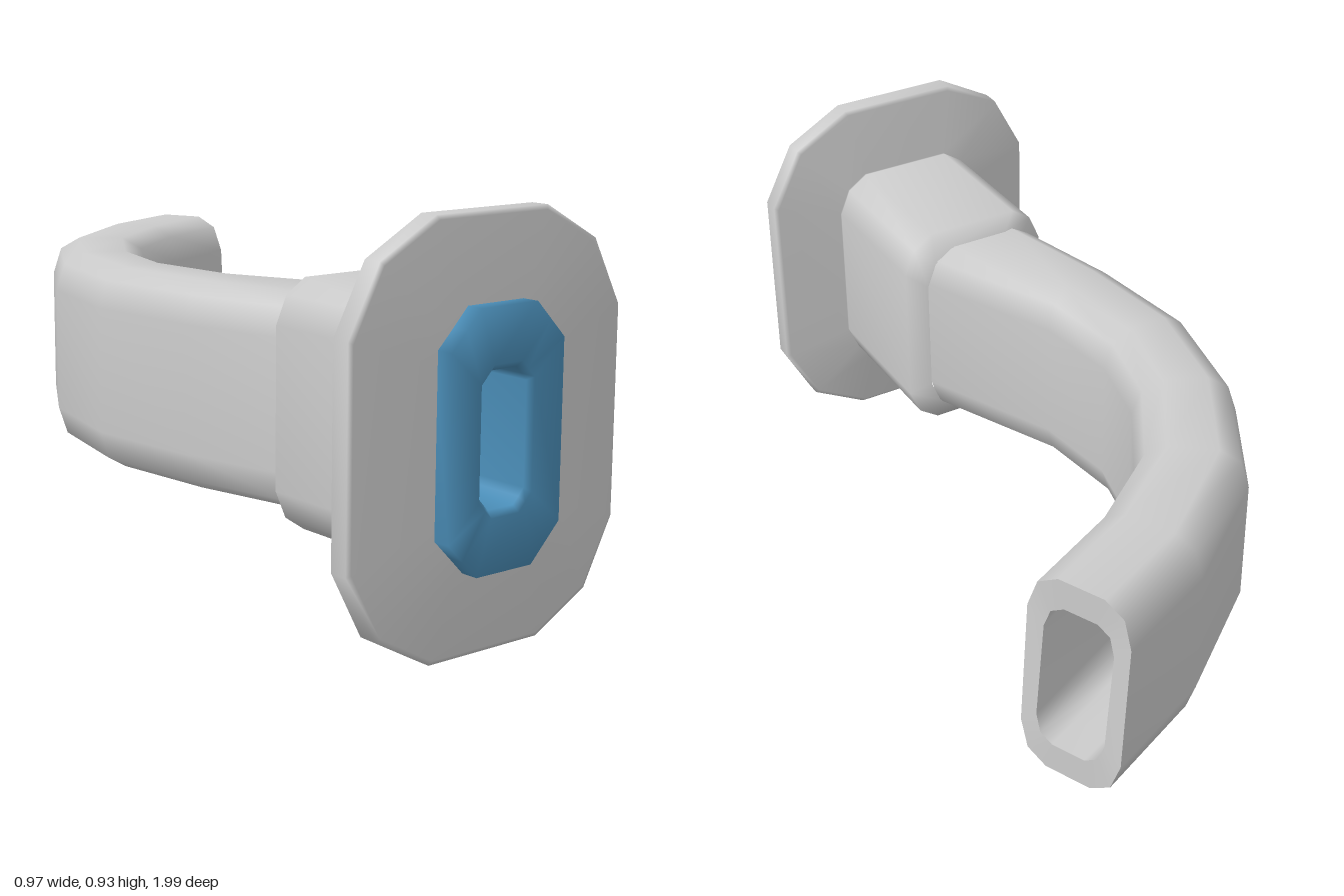
import * as THREE from 'three';

const CX = -0.11, CY = 0.468;

// A ring of 12 points: a rounded rectangle spanning l to r (x, z pairs) and 2*hy tall,
// with corners cut by cx, cy. mid sets corner roundness, tilt leans the ring along the path.
function ring(l, r, hy, cx, cy, mid = 0.35, tilt = 0) {
  const a = new THREE.Vector2(...l), b = new THREE.Vector2(...r);
  const hx = a.distanceTo(b) / 2;
  const c = a.clone().add(b).multiplyScalar(0.5);
  const u = hx > 0 ? b.clone().sub(a).normalize() : new THREE.Vector2(1, 0);
  const corner = [[hx, hy - cy], [hx - mid * cx, hy - mid * cy], [hx - cx, hy]];
  const back = [...corner].reverse();
  const pts = [
    ...corner,
    ...back.map(([x, y]) => [-x, y]),
    ...corner.map(([x, y]) => [-x, -y]),
    ...back.map(([x, y]) => [x, -y]),
  ];
  return pts.map(([x, y]) => {
    const s = hy > 0 ? -tilt * y / hy : 0;
    return [c.x + u.x * x + u.y * s, CY + y, c.y + u.y * x - u.x * s];
  });
}

// Ring facing straight along z
const flat = (z, hx, hy, cx, cy, mid) => ring([CX - hx, z], [CX + hx, z], hy, cx, cy, mid);

// Skin a list of rings; repeat a ring to get a sharp edge there
function loft(name, rings, color) {
  const n = 12, index = [];
  for (let i = 0; i < rings.length - 1; i++) {
    for (let j = 0; j < n; j++) {
      const a = i * n + j, b = i * n + (j + 1) % n;
      index.push(a, a + n, b, b, a + n, b + n);
    }
  }
  const geo = new THREE.BufferGeometry();
  geo.setAttribute('position', new THREE.Float32BufferAttribute(rings.flat(2), 3));
  geo.setIndex(index);
  geo.computeVertexNormals();
  const mesh = new THREE.Mesh(geo, new THREE.MeshStandardMaterial({ color }));
  mesh.name = name;
  return mesh;
}

export function createModel() {
  const group = new THREE.Group();
  group.name = 'curvedPipe';

  // Flange plate and the thick neck behind it
  group.add(loft('flangeAndNeck', [
    flat(0.96, 0.12, 0.24, 0.06, 0.07),
    flat(0.958, 0.2, 0.29, 0.1, 0.11),
    flat(0.95, 0.37, 0.456, 0.22, 0.225),
    flat(0.945, 0.38, 0.466, 0.225, 0.23),
    flat(0.9, 0.38, 0.466, 0.225, 0.23),
    flat(0.893, 0.37, 0.456, 0.22, 0.225),
    flat(0.87, 0.2, 0.285, 0.08, 0.1),
    flat(0.865, 0.2, 0.285, 0.08, 0.1),
    flat(0.49, 0.2, 0.285, 0.08, 0.1),
    flat(0.46, 0.15, 0.245, 0.07, 0.095),
  ], 0xcccccc));

  // Curved hollow tube: left and right edge of each station
  const path = [
    [[-0.285, 0.47], [0.035, 0.47]],
    [[-0.35, 0.2], [-0.12, 0.12]],
    [[-0.385, -0.1], [-0.145, -0.1]],
    [[-0.32, -0.4], [-0.1, -0.29]],
    [[-0.17, -0.66], [0.03, -0.5]],
    [[0.1, -0.87], [0.22, -0.64]],
    [[0.36, -0.985], [0.465, -0.755]],
  ];
  const last = path.length - 1;
  const station = (i, scale, hy, cx, cy) => {
    const [l, r] = path[i];
    const lerp = (t) => [l[0] + (r[0] - l[0]) * t, l[1] + (r[1] - l[1]) * t];
    return ring(lerp(0.5 - scale / 2), lerp(0.5 + scale / 2), hy, cx, cy, 0.3, i === last ? 0.02 : 0);
  };
  const outer = path.map((_, i) => station(i, 1, 0.247, 0.07, 0.095));
  const lip = station(last, 0.68, 0.174, 0.045, 0.06);
  const inner = path.map((_, i) => station(i, 0.68, 0.174, 0.045, 0.06)).reverse();
  group.add(loft('tube', [
    ...outer, outer[last], lip, ...inner, inner[last], station(0, 0, 0, 0, 0),
  ], 0xcccccc));

  // Coloured ring on the front with a recessed opening
  const floor = flat(0.75, 0.066, 0.146, 0.03, 0.032, 0.5);
  group.add(loft('frontRing', [
    flat(0.75, 0, 0, 0, 0),
    floor, floor,
    flat(0.985, 0.066, 0.146, 0.03, 0.032, 0.5),
    flat(1.0, 0.075, 0.16, 0.036, 0.038, 0.5),
    flat(1.0, 0.158, 0.279, 0.08, 0.082, 0.5),
    flat(0.95, 0.158, 0.279, 0.08, 0.082, 0.5),
  ], 0x4a8db7));

  return group;
}
